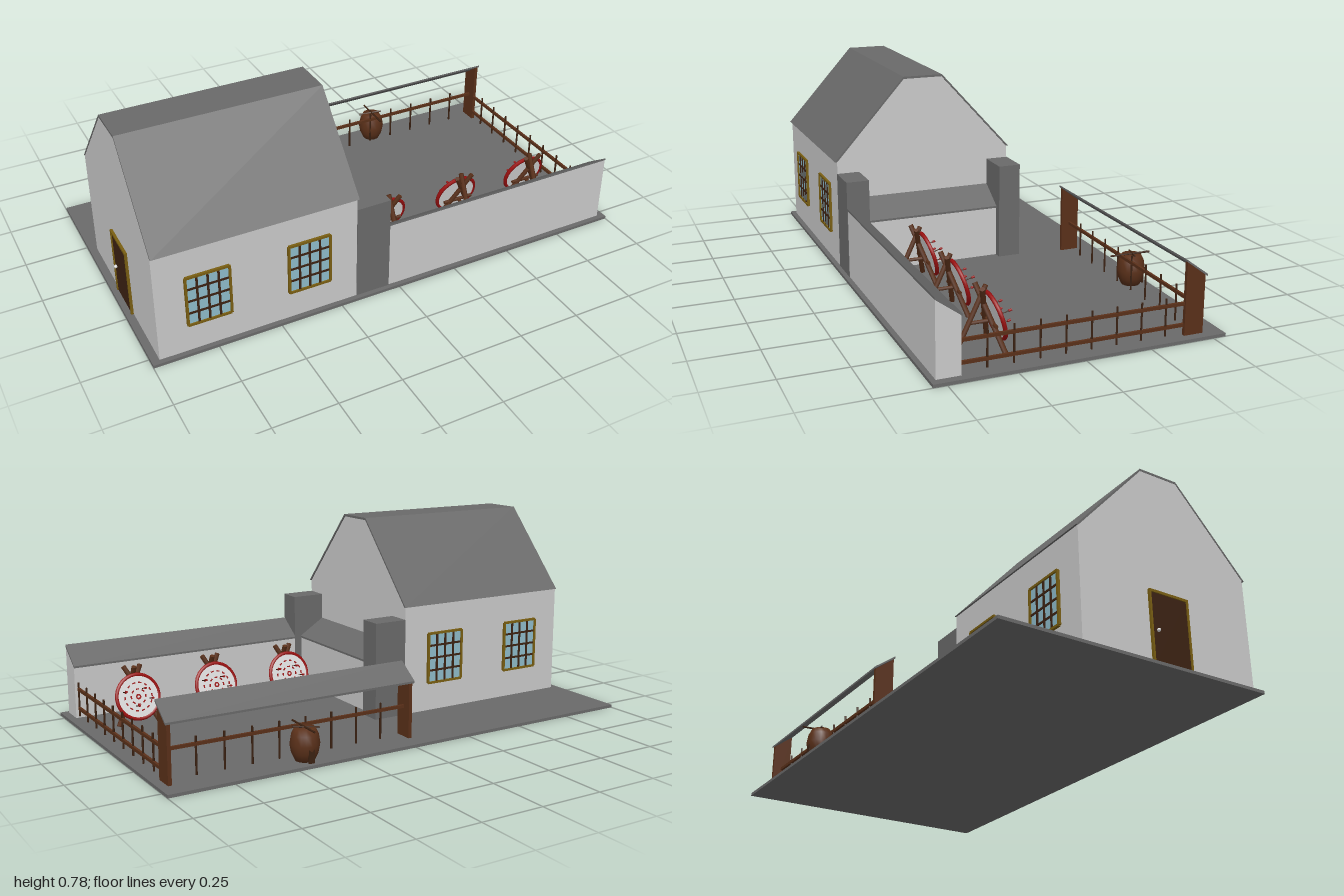
import * as THREE from 'three';

const mat = (name, color) => {
  const m = new THREE.MeshStandardMaterial({ color });
  m.name = name;
  return m;
};
const plaster = mat('plaster', 0xcbcbcb);
const slate = mat('slate', 0x6a6a6a);
const wood = mat('wood', 0x5a3019);
const darkWood = mat('dark wood', 0x3c2212);
const brass = mat('brass', 0x7a5f12);
const glass = mat('glass', 0x8fbccb);
const red = mat('red', 0x9c1010);
const white = mat('white', 0xdedede);

const V = (x, y, z) => new THREE.Vector3(x, y, z);

function add(parent, name, geo, material) {
  const m = new THREE.Mesh(geo, material);
  m.name = name;
  parent.add(m);
  return m;
}

// Box given by its minimum and maximum on each axis
function box(parent, name, material, x0, x1, y0, y1, z0, z1) {
  const m = add(parent, name, new THREE.BoxGeometry(x1 - x0, y1 - y0, z1 - z0), material);
  m.position.set((x0 + x1) / 2, (y0 + y1) / 2, (z0 + z1) / 2);
  return m;
}

// Round pole between two points
function pole(parent, name, material, a, b, r, sides = 6) {
  const d = b.clone().sub(a);
  const m = add(parent, name, new THREE.CylinderGeometry(r, r, d.length(), sides), material);
  m.position.copy(a).add(b).multiplyScalar(0.5);
  m.quaternion.setFromUnitVectors(V(0, 1, 0), d.normalize());
  return m;
}

function extrude(points, depth) {
  const shape = new THREE.Shape(points.map(p => new THREE.Vector2(p[0], p[1])));
  return new THREE.ExtrudeGeometry(shape, { depth, bevelEnabled: false });
}

// Prism whose [z, y] profile runs along x
function prismX(parent, name, material, points, x0, x1) {
  const geo = extrude(points, x1 - x0);
  geo.rotateY(-Math.PI / 2).translate(x1, 0, 0);
  return add(parent, name, geo, material);
}

// Barred window, centred on its own origin and facing +z
function makeWindow() {
  const g = new THREE.Group();
  g.name = 'window';
  const w = 0.083, h = 0.103, t = 0.009;
  box(g, 'windowPane', glass, -w, w, -h, h, 0, 0.004);
  for (const s of [-1, 1]) {
    box(g, 'windowFrameSide', brass, s * w - t / 2, s * w + t / 2, -h, h, 0, 0.01);
    box(g, 'windowFrameRail', brass, -w, w, s * h - t / 2, s * h + t / 2, 0, 0.01);
  }
  for (const i of [-1, 0, 1]) {
    box(g, 'windowBar', darkWood, i * 0.041 - 0.004, i * 0.041 + 0.004, -h, h, 0, 0.008);
    box(g, 'windowBar', darkWood, -w, w, i * 0.052 - 0.004, i * 0.052 + 0.004, 0, 0.007);
  }
  return g;
}

function makeHouse() {
  const g = new THREE.Group();
  g.name = 'house';
  prismX(g, 'houseWalls', plaster, [[0.53, 0.012], [0.53, 0.455], [0.245, 0.775],
    [0.08, 0.775], [-0.21, 0.455], [-0.21, 0.012]].reverse(), -0.97, -0.18);
  prismX(g, 'houseRoof', slate, [[0.54, 0.455], [0.245, 0.783], [0.08, 0.783], [-0.217, 0.455],
    [-0.208, 0.455], [0.081, 0.774], [0.244, 0.774], [0.53, 0.455]], -0.971, -0.176);
  for (const x of [-0.772, -0.377]) {
    const front = makeWindow();
    front.position.set(x, 0.232, 0.53);
    const back = makeWindow();
    back.position.set(x, 0.232, -0.21);
    back.rotation.y = Math.PI;
    g.add(front, back);
  }
  // Door in the gable end
  box(g, 'door', darkWood, -0.976, -0.968, 0.012, 0.285, 0.085, 0.24);
  box(g, 'doorFrameTop', brass, -0.98, -0.968, 0.283, 0.293, 0.077, 0.248);
  for (const z of [0.08, 0.244]) {
    box(g, 'doorFrameSide', brass, -0.98, -0.968, 0.012, 0.29, z - 0.004, z + 0.004);
  }
  const knob = add(g, 'doorKnob', new THREE.SphereGeometry(0.007, 10, 8), white);
  knob.position.set(-0.981, 0.14, 0.105);
  return g;
}

function makeYardWalls() {
  const g = new THREE.Group();
  g.name = 'yardWalls';
  box(g, 'frontPillar', slate, -0.18, -0.04, 0.012, 0.405, 0.44, 0.532);
  box(g, 'backPillar', slate, -0.18, -0.04, 0.012, 0.405, -0.212, -0.12);
  // Front wall with sloping cap
  prismX(g, 'frontWall', plaster, [[0.44, 0.012], [0.53, 0.012], [0.53, 0.288], [0.44, 0.22]], -0.04, 0.97);
  prismX(g, 'frontWallCap', slate, [[0.436, 0.219], [0.532, 0.289], [0.532, 0.297], [0.436, 0.227]], -0.04, 0.971);
  // Matching wall along the house
  const wall = extrude([[-0.18, 0.012], [-0.074, 0.012], [-0.074, 0.22], [-0.18, 0.288]], 0.56);
  add(g, 'sideWall', wall.translate(0, 0, -0.12), plaster);
  const cap = extrude([[-0.18, 0.289], [-0.07, 0.219], [-0.07, 0.227], [-0.18, 0.297]], 0.56);
  add(g, 'sideWallCap', cap.translate(0, 0, -0.12), slate);
  return g;
}

function makeShelterAndFence() {
  const g = new THREE.Group();
  g.name = 'shelterAndFence';
  for (const x of [-0.03, 0.952]) {
    prismX(g, 'shelterPost', wood, [[-0.475, 0.012], [-0.4, 0.012], [-0.4, 0.286], [-0.475, 0.23]], x, x + 0.014);
  }
  prismX(g, 'shelterRoof', slate, [[-0.48, 0.227], [-0.396, 0.289], [-0.396, 0.297], [-0.48, 0.235]], -0.037, 0.972);
  // Side fence
  for (const y of [0.05, 0.13]) {
    box(g, 'sideFenceRail', wood, 0.95, 0.96, y - 0.006, y + 0.006, -0.4, 0.445);
  }
  for (let i = 0; i < 9; i++) {
    const z = 0.44 - i * 0.096;
    pole(g, 'sideFencePicket', darkWood, V(0.955, 0.018, z), V(0.955, 0.158, z), 0.004);
  }
  // Back fence under the shelter
  box(g, 'backFenceRail', wood, -0.02, 0.955, 0.124, 0.136, -0.442, -0.432);
  for (let i = 1; i < 9; i++) {
    const x = -0.02 + i * 0.108;
    pole(g, 'backFencePicket', darkWood, V(x, 0.018, -0.437), V(x, 0.158, -0.437), 0.004);
  }
  return g;
}

// Round target on a three-legged stand
function makeTarget(x) {
  const g = new THREE.Group();
  g.name = 'target';
  for (const s of [-1, 1]) {
    pole(g, 'frontLeg', wood, V(s * 0.085, 0.012, 0.24), V(-s * 0.035, 0.235, 0.305), 0.01);
  }
  pole(g, 'rearLeg', wood, V(0, 0.012, 0.385), V(0, 0.235, 0.278), 0.01);
  pole(g, 'standBrace', wood, V(0, 0.103, 0.26), V(0, 0.103, 0.342), 0.007);
  pole(g, 'standCrossbar', wood, V(-0.065, 0.103, 0.265), V(0.065, 0.103, 0.265), 0.007);

  const disc = new THREE.Group();
  disc.name = 'targetDisc';
  disc.position.set(0, 0.12, 0.247);
  disc.lookAt(0, 0.12 + Math.sin(0.27), 0.247 - Math.cos(0.27));
  add(disc, 'targetBoard', new THREE.CylinderGeometry(0.088, 0.088, 0.01, 28).rotateX(Math.PI / 2), white);
  add(disc, 'targetRim', new THREE.TorusGeometry(0.087, 0.008, 6, 28), red);
  const ring = new THREE.RingGeometry(0.005, 0.011, 16);
  add(disc, 'targetCentre', ring, red).position.z = 0.0065;
  // Dashed rings
  for (const [r, n] of [[0.03, 8], [0.056, 14]]) {
    for (let i = 0; i < n; i++) {
      const a = i / n * Math.PI * 2;
      const dash = add(disc, 'targetDash', new THREE.BoxGeometry(0.005, 0.012, 0.003), red);
      dash.position.set(r * Math.cos(a), r * Math.sin(a), 0.006);
      dash.rotation.z = a;
    }
  }
  // Arrows stuck in the board
  for (const [ax, ay] of [[-0.06, 0.025], [0.02, 0.03], [0.045, -0.012], [-0.015, -0.035]]) {
    pole(disc, 'arrowShaft', darkWood, V(ax, ay, 0), V(ax, ay, 0.042), 0.002, 5);
    pole(disc, 'arrowFletching', red, V(ax, ay, 0.036), V(ax, ay, 0.048), 0.0045, 5);
  }
  g.add(disc);
  g.position.x = x;
  return g;
}

function makeBarrel() {
  const g = new THREE.Group();
  g.name = 'barrel';
  const profile = [[0, 0], [0.036, 0], [0.05, 0.03], [0.056, 0.062], [0.05, 0.098], [0.038, 0.122], [0, 0.122]]
    .map(p => new THREE.Vector2(p[0], p[1]));
  add(g, 'barrelBody', new THREE.LatheGeometry(profile, 16), wood);
  pole(g, 'barrelRod', darkWood, V(0, 0.124, 0.09), V(0.005, 0.124, -0.078), 0.004);
  pole(g, 'barrelRod', darkWood, V(-0.05, 0.118, -0.02), V(0.045, 0.128, 0.01), 0.004);
  box(g, 'barrelStave', darkWood, -0.012, 0.012, 0, 0.055, -0.052, -0.044);
  g.position.set(0.44, 0.012, -0.48);
  return g;
}

export function createModel() {
  const model = new THREE.Group();
  model.name = 'houseWithTargetYard';
  box(model, 'ground', slate, -1, 1, 0, 0.012, -0.55, 0.55);
  model.add(makeHouse(), makeYardWalls(), makeShelterAndFence(), makeBarrel());
  for (const x of [0.1, 0.44, 0.78]) model.add(makeTarget(x));
  return model;
}
